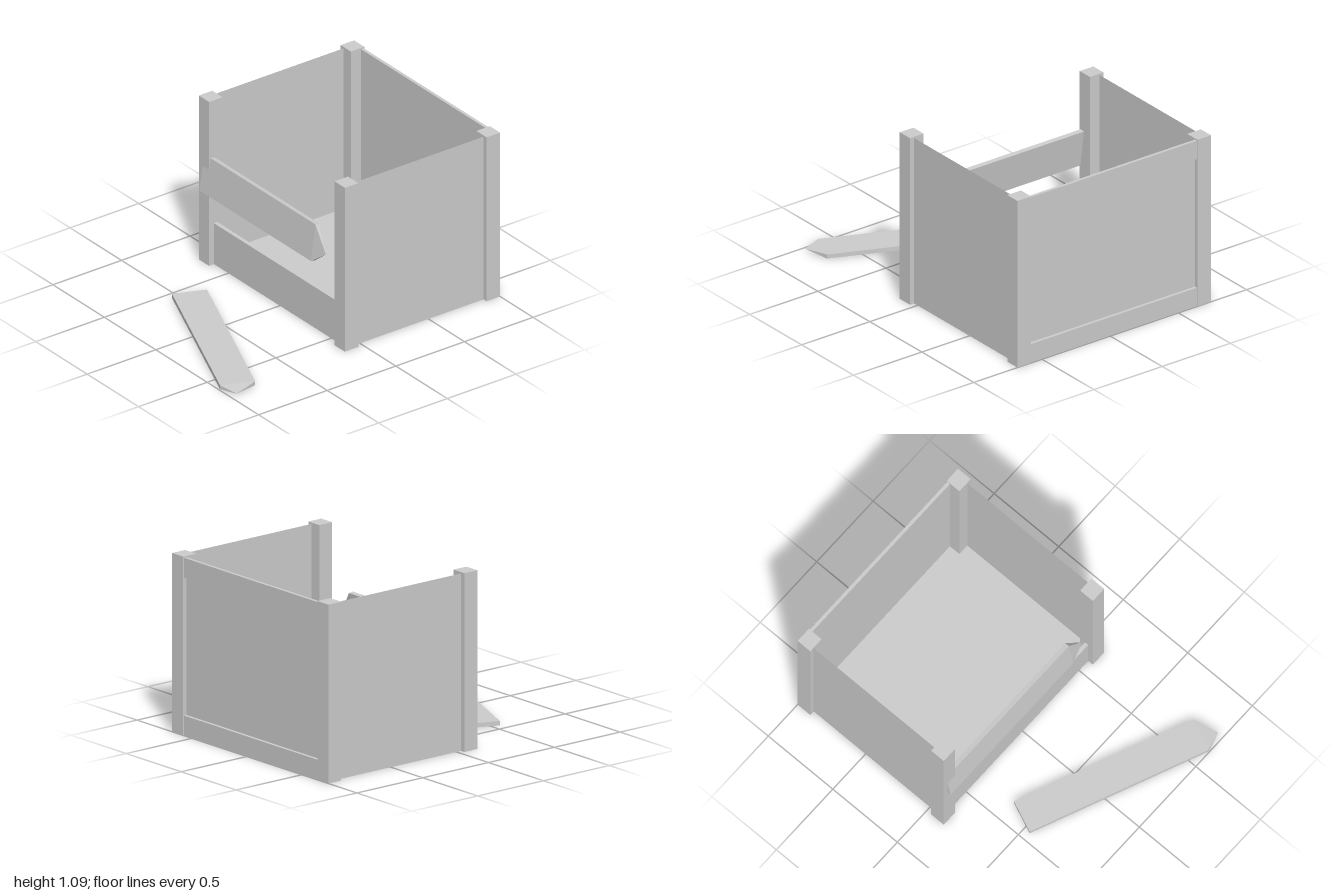
import * as THREE from 'three';

export function createModel() {
  const group = new THREE.Group();
  const grey = new THREE.MeshStandardMaterial({ color: 0xcccccc, side: THREE.DoubleSide });
  grey.name = 'plainGrey';

  const add = (name, geometry, x, y, z) => {
    const mesh = new THREE.Mesh(geometry, grey);
    mesh.name = name;
    mesh.position.set(x, y, z);
    group.add(mesh);
    return mesh;
  };

  const midX = -0.03;            // stall centre line
  const innerWidth = 1.22;       // clear width between posts
  const wallHeight = 1.077;

  // Corner posts, open underneath
  const postHeight = 1.085;
  for (const side of [-1, 1]) {
    for (const [end, z] of [['front', 0.083], ['back', -0.951]]) {
      const geo = new THREE.BoxGeometry(0.1, postHeight, 0.098);
      const index = Array.from(geo.index.array);
      index.splice(18, 6);       // drop the bottom face
      geo.setIndex(index);
      geo.clearGroups();
      add(end + (side > 0 ? 'Left' : 'Right') + 'Post', geo, midX + side * 0.66, postHeight / 2, z);
    }
  }

  // Thin side walls
  for (const side of [-1, 1]) {
    const wall = add(side > 0 ? 'leftWall' : 'rightWall',
      new THREE.PlaneGeometry(1.055, wallHeight), midX + side * 0.68, wallHeight / 2, -0.4475);
    wall.rotation.y = side * Math.PI / 2;
  }

  // Back panel with its outer rails
  add('backPanel', new THREE.PlaneGeometry(1.36, wallHeight), midX, wallHeight / 2, -0.975)
    .rotation.y = Math.PI;
  for (const [name, y] of [['backTopRail', wallHeight - 0.06], ['backBottomRail', 0.06]]) {
    add(name, new THREE.BoxGeometry(innerWidth, 0.12, 0.02), midX, y, -0.985);
  }

  // Floor sheet and low front board
  add('floor', new THREE.PlaneGeometry(1.36, 1.045), midX, 0.015, -0.4525)
    .rotation.x = -Math.PI / 2;
  add('frontBoard', new THREE.BoxGeometry(innerWidth + 0.02, 0.27, 0.026), midX, 0.135, 0.083);

  // Loose planks: a box from x = 0 to length, closed by a pyramid tip
  function pointedPlank(length, width, thickness, tipLength, tipY) {
    const geo = new THREE.BoxGeometry(2, width, thickness, 2, 1, 1);
    const p = geo.attributes.position;
    for (let i = 0; i < p.count; i++) {
      const x = p.getX(i);
      if (x > 0.5) p.setXYZ(i, length + tipLength, tipY, 0);
      else p.setX(i, x < -0.5 ? 0 : length);
    }
    geo.setIndex(Array.from(geo.index.array).slice(6)); // drop the collapsed end face
    geo.clearGroups();
    const flat = geo.toNonIndexed();
    // Remove the tip triangles that collapsed to a line
    const src = flat.attributes.position;
    const kept = [];
    const tri = new THREE.Triangle();
    for (let i = 0; i < src.count; i += 3) {
      tri.setFromAttributeAndIndices(src, i, i + 1, i + 2);
      if (tri.getArea() > 1e-7) for (const v of [tri.a, tri.b, tri.c]) kept.push(v.x, v.y, v.z);
    }
    const out = new THREE.BufferGeometry();
    out.setAttribute('position', new THREE.Float32BufferAttribute(kept, 3));
    out.computeVertexNormals();
    return out;
  }

  // Plank leaning on the front post
  add('signPlank', pointedPlank(1.085, 0.235, 0.03, 0.11, -0.033), -0.705, 0.592, 0.123)
    .rotation.x = -0.137;

  // Plank lying on the ground
  add('fallenPlank', pointedPlank(1.162, 0.211, 0.027, 0.099, -0.029), -0.41, 0.0165, 0.4475)
    .rotation.set(-Math.PI / 2, -0.399, 0, 'YXZ');

  return group;
}
